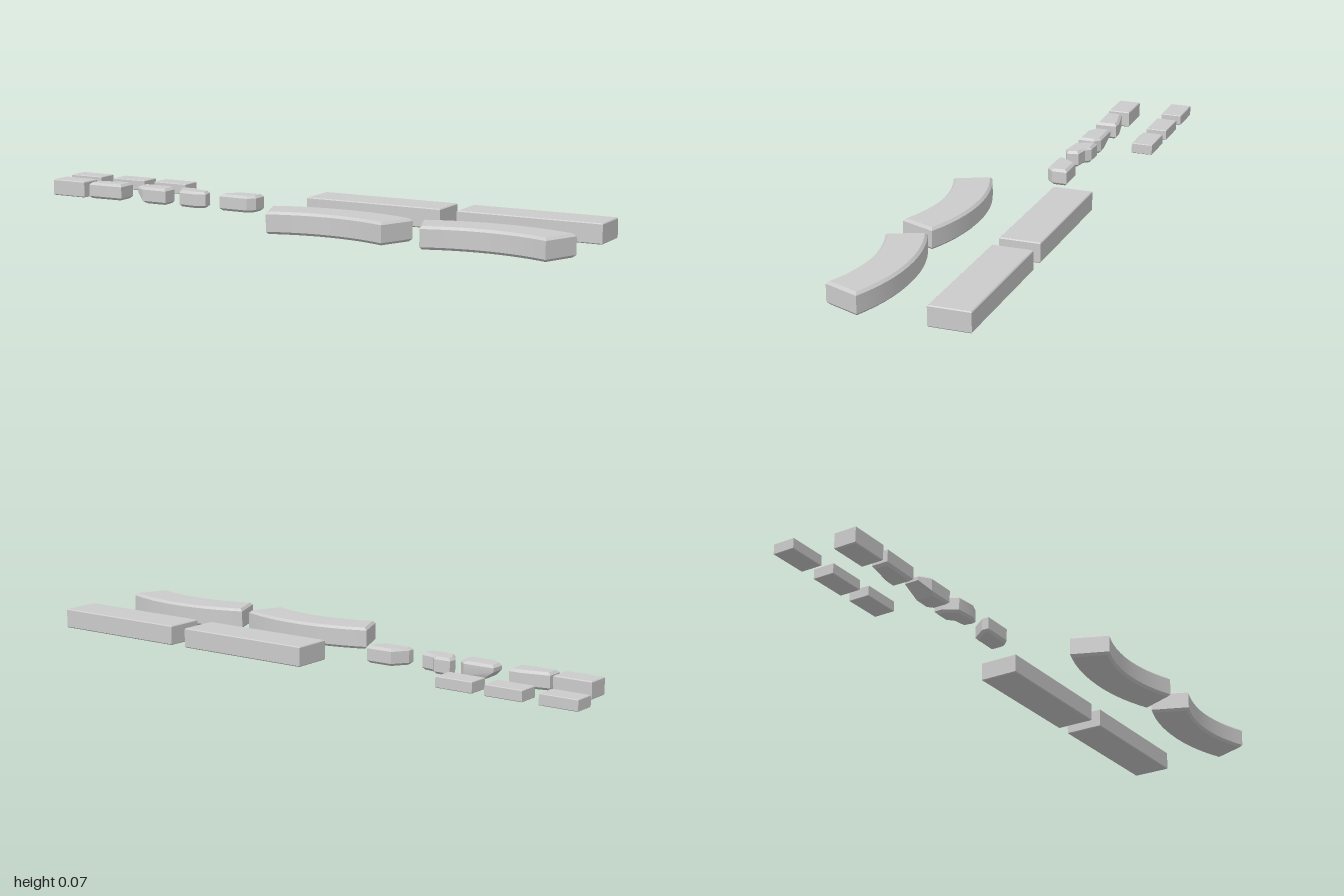
import * as THREE from 'three';
import { toCreasedNormals } from 'three/addons/utils/BufferGeometryUtils.js';

// Chamfered slab from a plan outline of [x, z] points, between heights y0 and y1
function slab(outline, y0, y1, bevel, reshape) {
  const shape = new THREE.Shape(outline.map(([x, z]) => new THREE.Vector2(x, -z)));
  const geo = new THREE.ExtrudeGeometry(shape, {
    depth: y1 - y0 - 2 * bevel, bevelEnabled: true, bevelSegments: 1,
    bevelSize: bevel, bevelThickness: bevel, bevelOffset: -bevel,
  });
  geo.rotateX(-Math.PI / 2).translate(0, y0 + bevel, 0);
  if (reshape) {
    const p = geo.attributes.position;
    const v = new THREE.Vector3();
    for (let i = 0; i < p.count; i++) {
      reshape(v.fromBufferAttribute(p, i));
      p.setXYZ(i, v.x, v.y, v.z);
    }
  }
  return toCreasedNormals(geo, 0.5);
}

const rect = (x0, x1, z0, z1) => [[x0, z0], [x1, z0], [x1, z1], [x0, z1]];

// Ring segment bulging toward -z, its back-most point at z = back
function arc(cx, back, outer, inner, half, steps) {
  const pts = [];
  const add = (r, a) => pts.push([cx + r * Math.sin(a), back + outer - r * Math.cos(a)]);
  for (let i = 0; i <= steps; i++) add(outer, half * (2 * i / steps - 1));
  for (let i = steps; i >= 0; i--) add(inner, half * (2 * i / steps - 1));
  return pts;
}

export function createModel() {
  const group = new THREE.Group();
  const material = new THREE.MeshStandardMaterial({ color: 0xcccccc });
  const add = (name, geo) => {
    const mesh = new THREE.Mesh(geo, material);
    mesh.name = name;
    group.add(mesh);
  };

  // Straight kerb stones
  [[0, 0.47], [0.527, 1]].forEach(([x0, x1], i) =>
    add(`straightKerb${i + 1}`, slab(rect(x0, x1, -0.21, -0.08), 0.003, 0.067, 0.003)));

  // Curved kerb stones
  [0.235, 0.755].forEach((cx, i) =>
    add(`curvedKerb${i + 1}`, slab(arc(cx, 0.081, 0.64, 0.515, Math.PI / 8, 12), 0, 0.07, 0.008)));

  // Thin bricks
  [-1, -0.82, -0.652].forEach((x, i) =>
    add(`thinBrick${i + 1}`, slab(rect(x, x + 0.126, -0.244, -0.173), 0.022, 0.057, 0.002)));

  // Whole and broken bricks
  const bricks = {
    wholeBrick: rect(-0.946, -0.818, -0.07, 0.005),
    slantedBrick: [[-0.797, 0.005], [-0.797, -0.05], [-0.705, -0.07], [-0.67, -0.07], [-0.668, 0.002]],
    chippedBrick: [[-0.615, -0.068], [-0.51, -0.069], [-0.489, -0.05], [-0.489, 0.005], [-0.58, 0.005], [-0.615, -0.02]],
    notchedBrick: [[-0.462, -0.07], [-0.405, -0.07], [-0.39, -0.052], [-0.345, -0.044], [-0.338, -0.005],
      [-0.37, 0.008], [-0.435, 0.002], [-0.462, -0.04]],
    taperedBrick: [[-0.28, 0.003], [-0.28, -0.02], [-0.245, -0.069], [-0.155, -0.07], [-0.155, -0.02], [-0.178, 0.003]],
  };
  // Underside of the chipped brick is broken away at its -x end
  const reshapes = {
    chippedBrick: (v) => {
      if (v.y < 0.016) v.x = Math.max(v.x, -0.565);
      else if (v.y < 0.03 && v.x < -0.6) v.y = 0.047;
    },
  };
  for (const [name, outline] of Object.entries(bricks)) {
    const bevel = name === 'wholeBrick' ? 0.003 : 0.008;
    add(name, slab(outline, 0.013, 0.067, bevel, reshapes[name]));
  }
  return group;
}
